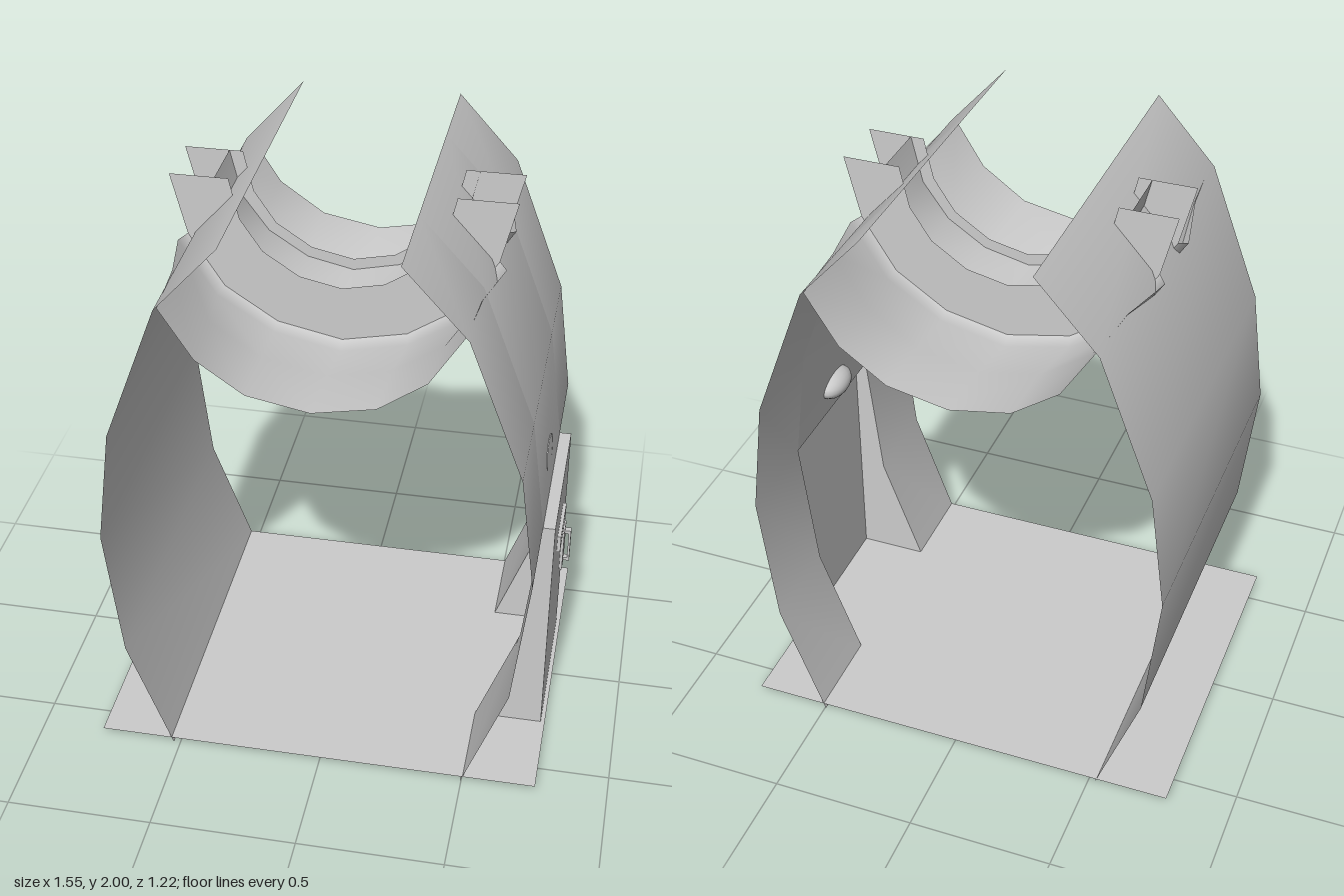
import * as THREE from 'three';

const sheetMat = new THREE.MeshStandardMaterial({ color: 0xcccccc, side: THREE.DoubleSide });
const solidMat = new THREE.MeshStandardMaterial({ color: 0xcccccc });
const HALF = 0.61;      // half length of the section
const DOOR_Z = 0.285;   // half width of the doorway
const DOOR_X = 0.753;   // plane of the door leaf
const RIB_Z = 0.1;      // half spacing of the rib plates

// Mirrors a half profile (outer end first, centre last) into a full U
const mirror = (half) => [...half.map(([x, y]) => [-x, y]), ...half.slice(0, -1).reverse()];
const mix = (a, b, t) => a.map(([x, y], i) => [x + (b[i][0] - x) * t, y + (b[i][1] - y) * t]);

// Smooth sheet through cross-sections [{z, points}]
function sheet(sections) {
  const pos = [], index = [], n = sections[0].points.length;
  for (const { z, points } of sections) for (const [x, y] of points) pos.push(x, y, z);
  for (let s = 0; s < sections.length - 1; s++) {
    for (let i = 0; i < n - 1; i++) {
      const a = s * n + i, b = a + n;
      index.push(a, a + 1, b, a + 1, b + 1, b);
    }
  }
  const geo = new THREE.BufferGeometry();
  geo.setAttribute('position', new THREE.Float32BufferAttribute(pos, 3));
  geo.setIndex(index);
  geo.computeVertexNormals();
  return geo;
}
const strip = (points, z0, z1) => sheet([{ z: z0, points }, { z: z1, points }]);
const plate = (points) => new THREE.ShapeGeometry(new THREE.Shape(points.map(([x, y]) => new THREE.Vector2(x, y))));

// Rectangular frame in the door plane, centred on (y, z)
function frame(h, w, border, depth) {
  const rect = (S, a, b) => new S([[-a, -b], [a, -b], [a, b], [-a, b]].map(([u, v]) => new THREE.Vector2(u, v)));
  const shape = rect(THREE.Shape, w / 2, h / 2);
  shape.holes.push(rect(THREE.Path, w / 2 - border, h / 2 - border));
  return new THREE.ExtrudeGeometry(shape, { depth, bevelEnabled: false }).rotateY(Math.PI / 2);
}

export function createModel() {
  const model = new THREE.Group();
  model.name = 'corridorSection';
  const body = new THREE.Group();
  body.name = 'corridorBody';
  body.position.x = -0.013;
  model.add(body);
  const add = (name, geo, mat = sheetMat, x = 0, y = 0, z = 0) => {
    const mesh = new THREE.Mesh(geo, mat);
    mesh.name = name;
    mesh.position.set(x, y, z);
    body.add(mesh);
    return mesh;
  };

  // Floor sheet
  add('floor', new THREE.PlaneGeometry(1.535, HALF * 2).rotateX(-Math.PI / 2), sheetMat, 0, 0.02, 0);

  // Curved walls; the one on +x is cut out for the doorway
  const wall = [[0.51, 0], [0.66, 0.41], [0.712, 0.88], [0.66, 1.29], [0.48, 1.77], [0.273, 2]];
  add('plainWall', strip(wall.map(([x, y]) => [-x, y]), HALF, -HALF));
  add('doorWallFront', strip(wall, DOOR_Z, HALF));
  add('doorWallBack', strip(wall, -HALF, -DOOR_Z));
  add('wallAboveDoor', strip(wall.slice(2), -DOOR_Z, DOOR_Z));

  // Ceiling trough, sagging toward the central rib
  const endHalf = [[0.467, 1.78], [0.36, 1.61], [0.205, 1.5], [0, 1.46]];
  const lowHalf = [[0.532, 1.75], [0.41, 1.56], [0.222, 1.44], [0, 1.39]];
  const lipHalf = mix(endHalf, lowHalf, 0.6);
  for (const side of [1, -1]) {
    const sections = [[HALF, 0], [0.36, 0.3], [0.13, 1], [RIB_Z, 0.6]].map(([z, t]) => (
      { z: z * side, points: mirror(mix(endHalf, lowHalf, t)) }));
    add(side > 0 ? 'frontTrough' : 'backTrough', sheet(sections));
  }

  // Rib: two U-shaped plates with a recessed band between them
  const innerHalf = [[0.365, 1.97], [0.333, 1.83], [0.26, 1.72], [0.14, 1.64], [0, 1.61]];
  const bandHalf = [[0.41, 1.97], [0.372, 1.81], [0.285, 1.69], [0.155, 1.605], [0, 1.57]];
  const outline = [...mirror([[0.558, 1.97], ...lipHalf]), ...mirror(innerHalf).reverse()];
  for (const z of [RIB_Z, -RIB_Z]) add('ribPlate', plate(outline), sheetMat, 0, 0, z);
  add('ribBand', strip(mirror(bandHalf), -RIB_Z, RIB_Z));

  // Door bay: jambs, head and leaf
  const jamb = [...wall.slice(0, 3), [DOOR_X, 0.88], [DOOR_X, 0]];
  for (const z of [DOOR_Z, -DOOR_Z]) add('doorJamb', plate(jamb), sheetMat, 0, 0, z);
  add('doorHead', strip([[0.712, 0.88], [DOOR_X, 0.88]], DOOR_Z, -DOOR_Z));
  add('doorLeaf', strip([[DOOR_X, 0], [DOOR_X, 0.88]], -DOOR_Z, DOOR_Z));

  // Door slot and handle
  add('slotFrame', frame(0.065, 0.2, 0.01, 0.012), solidMat, DOOR_X, 0.677, 0);
  add('handlePlate', new THREE.BoxGeometry(0.01, 0.165, 0.08), solidMat, DOOR_X + 0.005, 0.443, -0.205);
  add('handleBar', new THREE.BoxGeometry(0.008, 0.135, 0.022), solidMat, DOOR_X + 0.028, 0.447, -0.208);
  for (const y of [0.386, 0.508]) {
    add('handleStub', new THREE.BoxGeometry(0.02, 0.012, 0.022), solidMat, DOOR_X + 0.018, y, -0.208);
  }

  // Domed lamp on the inside of the wall above the door
  const dome = new THREE.SphereGeometry(1, 16, 6, 0, Math.PI * 2, 0, Math.PI / 2).rotateZ(Math.PI / 2);
  const lamp = add('lamp', dome.scale(0.055, 0.048, 0.09), sheetMat, 0.7, 0.99, 0);
  lamp.rotation.z = 0.08;

  return model;
}
